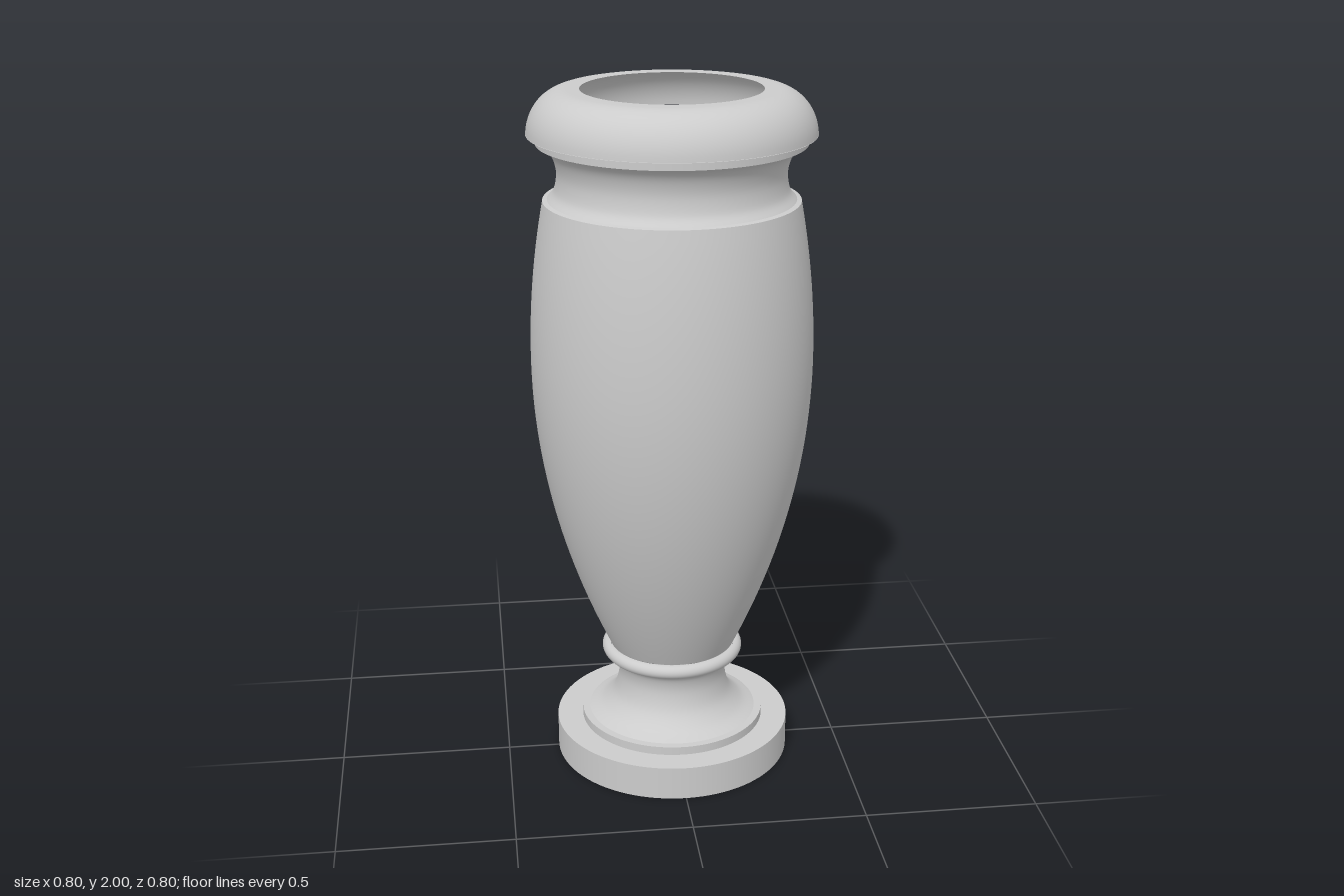
import * as THREE from 'three';

const material = new THREE.MeshStandardMaterial({ color: 0xcccccc, side: THREE.DoubleSide });

// Revolves a profile of [radius, height] pairs, listed from bottom to top.
function turned(name, points) {
  const profile = points.map(([r, y]) => new THREE.Vector2(r, y));
  const mesh = new THREE.Mesh(new THREE.LatheGeometry(profile, 96), material);
  mesh.name = name;
  return mesh;
}

// Smooth profile through a few control points.
function smooth(points, steps = 24) {
  const curve = new THREE.SplineCurve(points.map(([r, y]) => new THREE.Vector2(r, y)));
  return curve.getPoints(steps).map((p) => [p.x, p.y]);
}

// Elliptical arc profile around (cx, cy), angles in quarter turns.
function arc(cx, cy, rx, ry, from, to, steps = 14) {
  return Array.from({ length: steps + 1 }, (_, i) => {
    const a = (from + (to - from) * i / steps) * Math.PI / 2;
    return [cx + rx * Math.cos(a), cy + ry * Math.sin(a)];
  });
}

export function createModel() {
  const vase = new THREE.Group();
  vase.name = 'vase';

  // Stepped round base
  vase.add(
    turned('baseFloor', [[0, 0], [0.348, 0]]),
    turned('baseSide', [[0.348, 0], [0.348, 0.1]]),
    turned('baseTop', [[0.348, 0.1], [0.272, 0.1]]),
    turned('stepSide', [[0.272, 0.1], [0.272, 0.125]]),
    turned('stepTop', [[0.272, 0.125], [0.25, 0.125]])
  );

  // Concave stem and the bead above it
  vase.add(
    turned('stem', smooth([[0.25, 0.125], [0.21, 0.145], [0.175, 0.185], [0.16, 0.24], [0.166, 0.285], [0.185, 0.308]])),
    turned('bead', arc(0.187, 0.329, 0.022, 0.021, -1, 1))
  );

  // Swelling body, widest above the middle
  const body = Array.from({ length: 41 }, (_, i) => {
    const y = 0.35 + 1.347 * i / 40;
    const k = y < 1.25 ? 0.265 : 0.217;
    return [0.4 - k * (y - 1.25) ** 2, y];
  });
  vase.add(turned('body', body), turned('shoulder', [[0.357, 1.697], [0.344, 1.7]]));

  // Concave neck
  vase.add(turned('neck', smooth([[0.344, 1.7], [0.325, 1.725], [0.317, 1.77], [0.324, 1.81], [0.34, 1.838], [0.365, 1.855]])));

  // Collar and rounded rim, open in the middle
  vase.add(
    turned('collarUnderside', [[0.365, 1.855], [0.373, 1.855]]),
    turned('collar', [[0.373, 1.855], [0.373, 1.88]]),
    turned('rimUnderside', [[0.373, 1.88], [0.398, 1.88]]),
    turned('rim', [...arc(0.288, 1.875, 0.11, 0.125, 0.03, 1), [0.25, 2]])
  );

  return vase;
}
